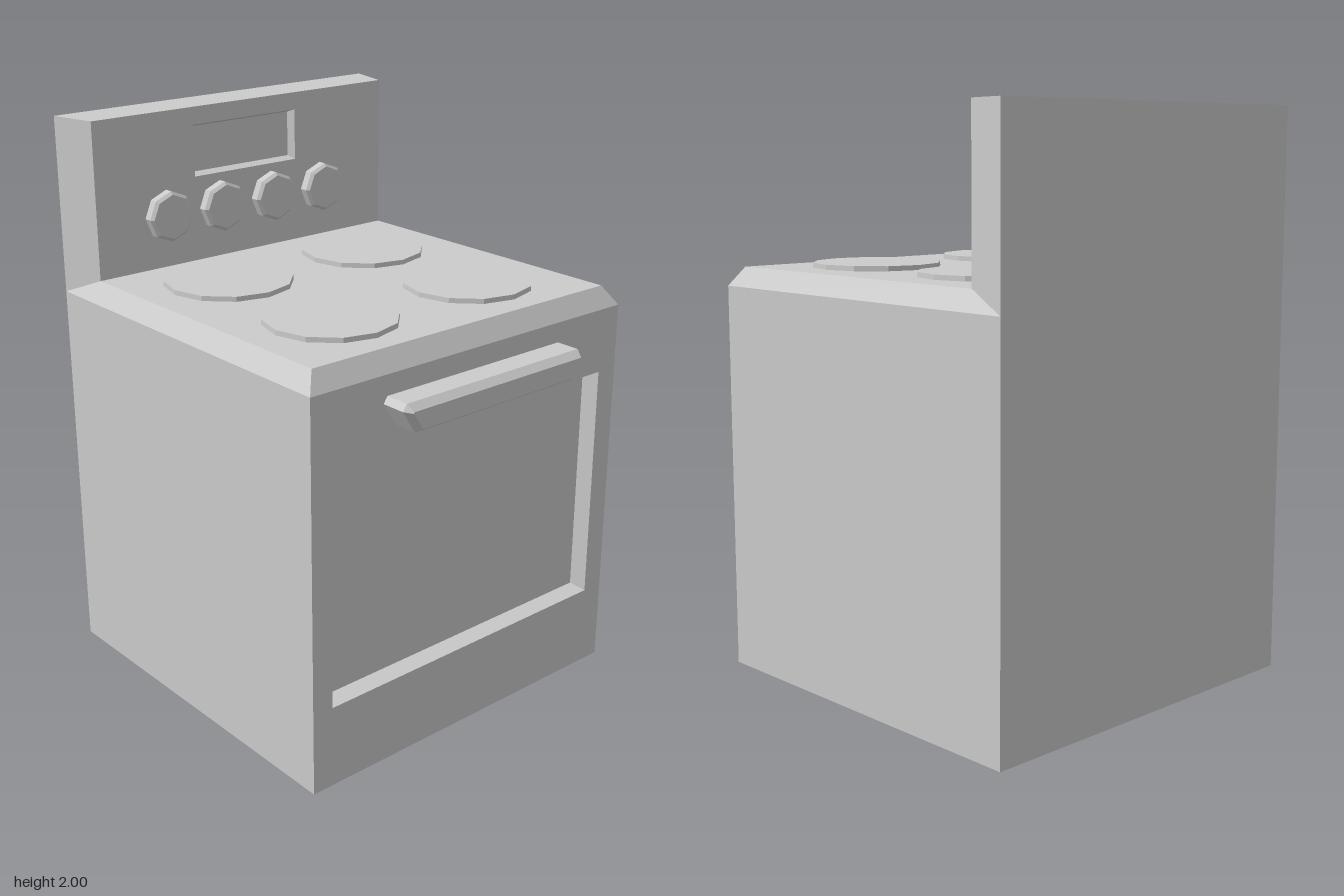
import * as THREE from 'three';

const material = new THREE.MeshStandardMaterial({ color: 0xcccccc, flatShading: true });

function add(parent, name, geometry) {
  const mesh = new THREE.Mesh(geometry, material);
  mesh.name = name;
  parent.add(mesh);
  return mesh;
}

// Flat-shaded surface from convex polygons (corners counter-clockwise from outside)
function polygons(faces) {
  const pos = [];
  for (const f of faces)
    for (let i = 1; i < f.length - 1; i++) pos.push(...f[0], ...f[i], ...f[i + 1]);
  const g = new THREE.BufferGeometry();
  g.setAttribute('position', new THREE.Float32BufferAttribute(pos, 3));
  g.computeVertexNormals();
  return g;
}

// Bands joining successive loops, closed by the last loop
function loft(loops) {
  const faces = [loops[loops.length - 1]];
  for (let k = 0; k < loops.length - 1; k++) {
    const a = loops[k], b = loops[k + 1], n = a.length;
    for (let i = 0; i < n; i++) {
      const j = (i + 1) % n;
      faces.push([a[i], a[j], b[j], b[i]]);
    }
  }
  return faces;
}

const rect = (x0, x1, y0, y1, z) => [[x0, y0, z], [x1, y0, z], [x1, y1, z], [x0, y1, z]];
const mirrored = f => f.map(([x, y, z]) => [-x, y, z]).reverse();

export function createModel() {
  const group = new THREE.Group();
  group.name = 'stove';

  const W = 0.685, T = 0.642;            // half widths: body, bevelled top
  const F = 0.63, B = -0.742;            // front and back
  const TF = 0.585, TB = -0.575;         // cooktop front and back
  const S = 1.378, C = 1.445, H = 2;     // shoulder, cooktop, full height

  // Front with recessed oven window
  add(group, 'ovenFront', polygons(loft([
    rect(-W, W, 0, S, F),
    rect(-0.605, 0.603, 0.293, 1.15, F),
    rect(-0.592, 0.59, 0.305, 1.137, F - 0.06),
  ])));

  // Sides, back and base
  const side = [[W, 0, F], [W, 0, B], [W, S, B], [W, S, F]];
  add(group, 'body', polygons([
    side, mirrored(side),
    [[W, 0, B], [-W, 0, B], [-W, H, B], [W, H, B]],
    [[-W, 0, B], [W, 0, B], [W, 0, F], [-W, 0, F]],
  ]));

  // Cooktop with bevelled rim
  const rim = [[W, S, F], [W, S, B], [T, C, TB], [T, C, TF]];
  add(group, 'cooktop', polygons([
    [[-T, C, TF], [T, C, TF], [T, C, TB], [-T, C, TB]],
    [[-W, S, F], [W, S, F], [T, C, TF], [-T, C, TF]],
    rim, mirrored(rim),
  ]));

  // Control panel with recessed display
  const panelSide = [[T, C, TB], [W, S, B], [W, H, B], [T, H, TB]];
  add(group, 'controlPanel', polygons([
    ...loft([
      rect(-T, T, C, H, TB),
      rect(-0.23, 0.225, 1.752, 1.937, TB),
      rect(-0.219, 0.214, 1.763, 1.926, TB - 0.03),
    ]),
    panelSide, mirrored(panelSide),
    [[-T, H, TB], [T, H, TB], [W, H, B], [-W, H, B]],
  ]));

  // Burners
  const burner = new THREE.CylinderGeometry(0.225, 0.226, 0.017, 12);
  for (const x of [-0.311, 0.299])
    for (const z of [-0.274, 0.276])
      add(group, 'burner', burner).position.set(x, C + 0.0085, z);

  // Octagonal knobs with chamfered faces
  const profile = [[0.091, 0], [0.091, 0.03], [0.08, 0.041], [0, 0.041]];
  const knob = new THREE.LatheGeometry(profile.map(p => new THREE.Vector2(...p)), 8);
  knob.rotateX(Math.PI / 2);
  for (let i = 0; i < 4; i++)
    add(group, 'knob', knob).position.set(-0.355 + i * 0.2325, 1.633, TB);

  // Tapered door handle
  const handleLoop = (bottom, mid, top, y0, y1, y2, z) => [
    [-bottom, y0, z], [bottom, y0, z], [mid, y1, z],
    [top, y2, z], [-top, y2, z], [-mid, y1, z],
  ];
  const root = handleLoop(0.348, 0.398, 0.383, 1.205, 1.285, 1.308, F);
  add(group, 'handle', polygons([
    ...loft([
      root,
      handleLoop(0.348, 0.398, 0.383, 1.205, 1.285, 1.308, 0.717),
      handleLoop(0.337, 0.376, 0.374, 1.221, 1.281, 1.286, 0.742),
    ]),
    [...root].reverse(),
  ]));

  return group;
}
